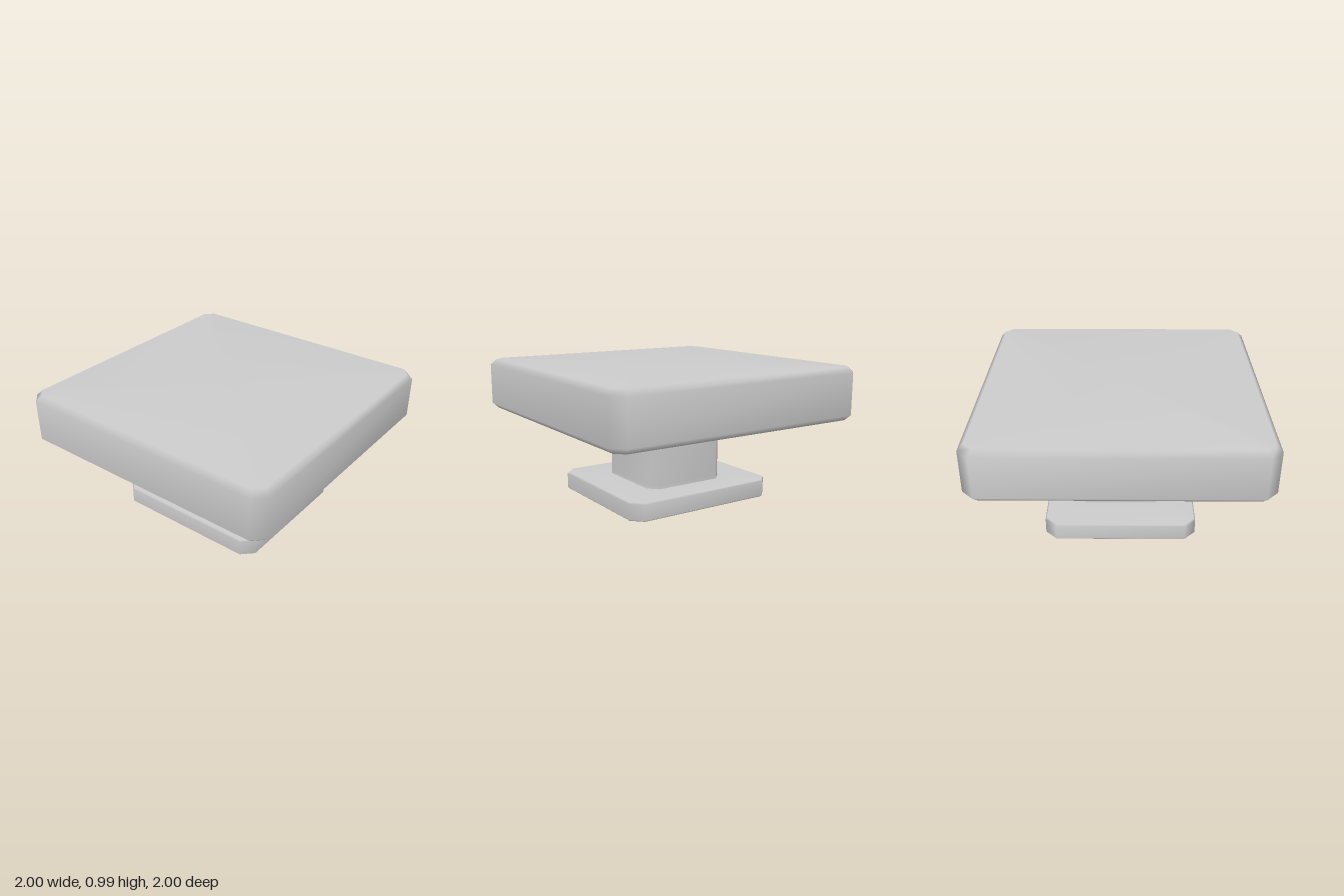
import * as THREE from 'three';

// Eight-sided loop: a rectangle with cut corners, at height y
function octagon(y, hx, hz, cut) {
  return [
    [hx, hz - cut], [hx - cut, hz], [cut - hx, hz], [-hx, hz - cut],
    [-hx, cut - hz], [cut - hx, -hz], [hx - cut, -hz], [hx, cut - hz],
  ].map(([x, z]) => [x, y, z]);
}

// Skin a series of loops with shared vertices for smooth normals
function skin(loops) {
  const n = 8, index = [];
  for (let r = 0; r < loops.length - 1; r++) {
    for (let i = 0; i < n; i++) {
      const a = r * n + i, b = r * n + (i + 1) % n;
      index.push(a, a + n, b, b, a + n, b + n);
    }
  }
  const geometry = new THREE.BufferGeometry();
  geometry.setAttribute('position', new THREE.Float32BufferAttribute(loops.flat(2), 3));
  geometry.setIndex(index);
  geometry.computeVertexNormals();
  return geometry;
}

export function createModel() {
  const group = new THREE.Group();
  group.name = 'squareKnob';
  const material = new THREE.MeshStandardMaterial({ color: 0xcccccc, side: THREE.DoubleSide });

  // Each row: y, half width, half depth, corner cut
  const parts = {
    // Hollow foot plate, open underneath
    basePlate: [
      [0, 0.41, 0.37, 0.07],
      [0, 0.585, 0.53, 0.075],
      [0.01, 0.595, 0.54, 0.08],
      [0.12, 0.595, 0.54, 0.08],
      [0.13, 0.585, 0.53, 0.075],
      [0.13, 0.36, 0.36, 0.08],
      [0.13, 0.32, 0.32, 0.07],
    ],
    // Hollow square stem with tight bands at both ends
    neck: [
      [0.13, 0.32, 0.32, 0.07],
      [0.155, 0.318, 0.318, 0.07],
      [0.585, 0.318, 0.318, 0.07],
      [0.61, 0.32, 0.32, 0.07],
    ],
    // Bevelled slab, closed on top
    topSlab: [
      [0.61, 0.32, 0.32, 0.07],
      [0.61, 0.36, 0.36, 0.08],
      [0.61, 0.96, 0.96, 0.06],
      [0.65, 1, 1, 0.08],
      [0.95, 1, 1, 0.08],
      [0.99, 0.96, 0.96, 0.06],
      [0.99, 0, 0, 0],
    ],
  };

  for (const [name, rows] of Object.entries(parts)) {
    const mesh = new THREE.Mesh(skin(rows.map((row) => octagon(...row))), material);
    mesh.name = name;
    group.add(mesh);
  }
  return group;
}
